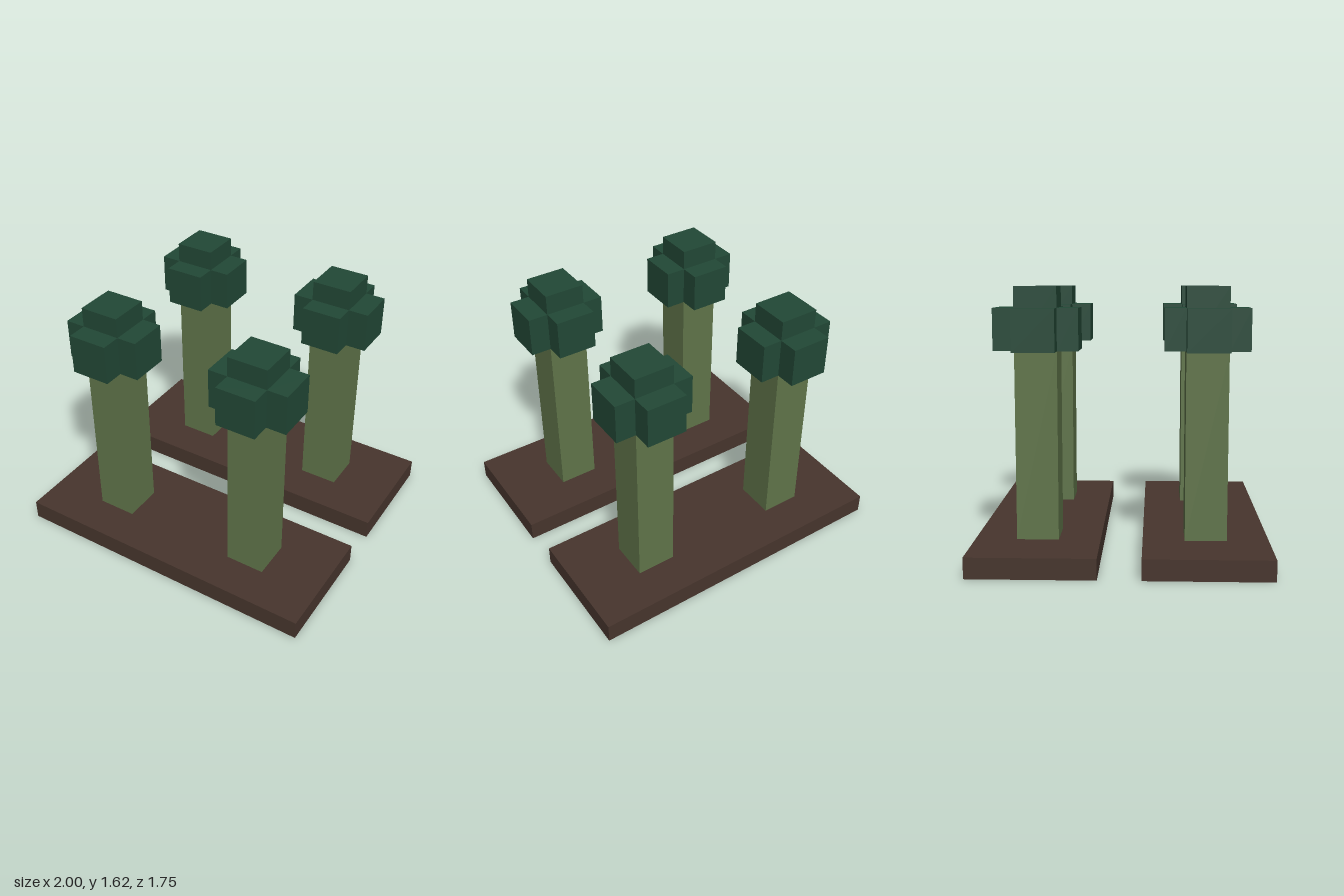
import * as THREE from 'three';

const soil = new THREE.MeshStandardMaterial({ name: 'soil brown', color: 0x47352d });
const stem = new THREE.MeshStandardMaterial({ name: 'stem green', color: 0x60754a });
const leaf = new THREE.MeshStandardMaterial({ name: 'leaf green', color: 0x224836 });

const U = 0.125; // grid unit

// Box from its size and the centre of its underside
function block(name, material, [w, h, d], [x, y, z]) {
  const mesh = new THREE.Mesh(new THREE.BoxGeometry(w, h, d), material);
  mesh.name = name;
  mesh.position.set(x, y + h / 2, z);
  return mesh;
}

// Square stem with a cross-shaped crown
function createPlant() {
  const plant = new THREE.Group();
  plant.name = 'plant';
  plant.add(block('stem', stem, [2 * U, 9 * U, 2 * U], [0, U, 0]));

  const crown = new THREE.Group();
  crown.name = 'crown';
  crown.add(block('crownCore', leaf, [2 * U, 3 * U, 2 * U], [0, 10 * U, 0]));
  for (const side of [-1, 1]) {
    crown.add(block('crownSideLobe', leaf, [U, 2 * U, 2 * U], [side * 1.5 * U, 10 * U, 0]));
    crown.add(block('crownEndLobe', leaf, [2 * U, 2 * U, U], [0, 10 * U, side * 1.5 * U]));
  }
  plant.add(crown);
  return plant;
}

export function createModel() {
  const model = new THREE.Group();
  model.name = 'plantRows';
  // Two soil beds with a gap between, two plants on each
  for (const z of [-4 * U, 4 * U]) {
    const row = new THREE.Group();
    row.name = z > 0 ? 'frontRow' : 'backRow';
    row.position.z = z;
    row.add(block('soilBed', soil, [16 * U, U, 6 * U], [0, 0, 0]));
    for (const x of [-4 * U, 4 * U]) {
      const plant = createPlant();
      plant.position.x = x;
      row.add(plant);
    }
    model.add(row);
  }
  return model;
}
